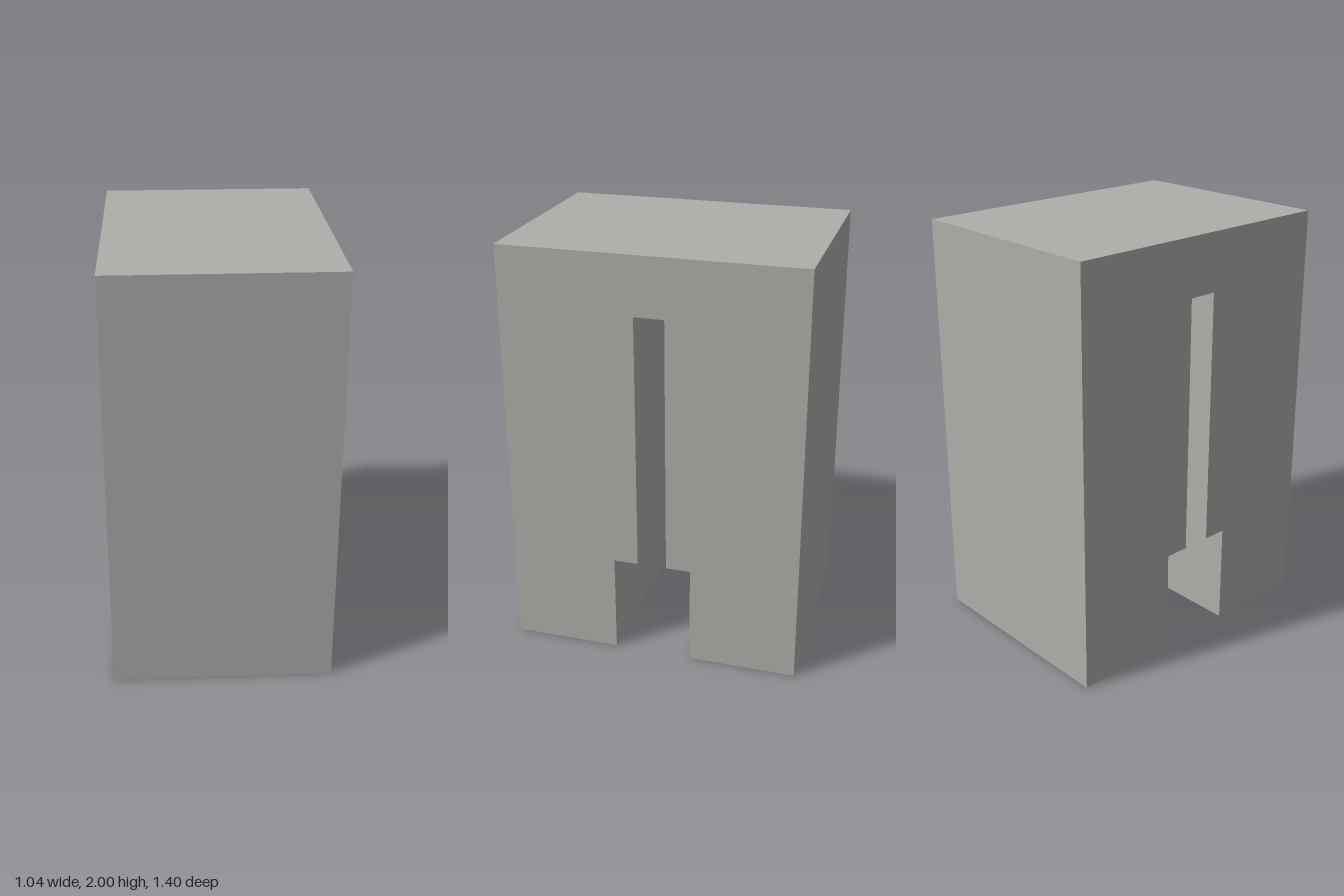
import * as THREE from 'three';

const WIDTH = 1.036;

export function createModel() {
  const model = new THREE.Group();
  model.name = 'slottedBlock';

  const stone = new THREE.MeshStandardMaterial({ color: 0xb0aeab });
  stone.name = 'warm grey';

  // Half of the side profile (z, y), from the outer top down and up into the stepped slot
  const half = [[0.702, 2], [0.702, 0], [0.187, 0], [0.187, 0.49], [0.07, 0.49], [0.07, 1.725]];
  const mirrored = half.map(([z, y]) => [-z, y]).reverse();
  const profile = new THREE.Shape([...half, ...mirrored].map(([z, y]) => new THREE.Vector2(z, y)));

  // Extrude across the full width, then turn the profile to run along z
  const geometry = new THREE.ExtrudeGeometry(profile, { depth: WIDTH, bevelEnabled: false });
  geometry.translate(0, 0, -WIDTH / 2);
  geometry.rotateY(-Math.PI / 2);

  const block = new THREE.Mesh(geometry, stone);
  block.name = 'blockWithSteppedSlot';
  model.add(block);
  return model;
}
